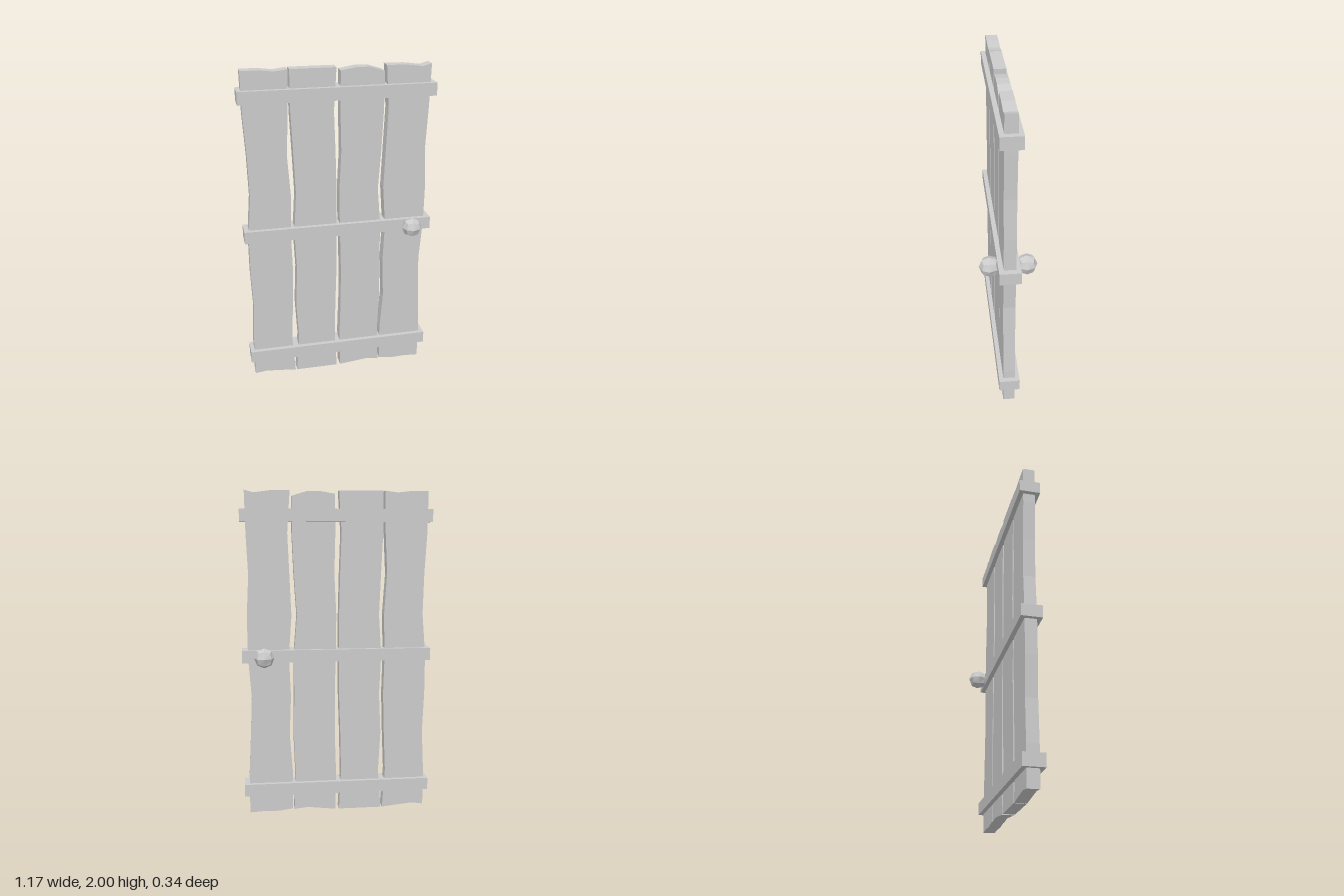
import * as THREE from 'three';

const material = new THREE.MeshStandardMaterial({ color: 0xcccccc, flatShading: true });

// Wavy plank edges: x at evenly spaced heights from bottom to top;
// ends: inner [x, y] points of the top and bottom cuts, left to right.
const planks = [
  {
    left: [-0.56, -0.56, -0.548, -0.558, -0.558, -0.537, -0.543, -0.557, -0.56],
    right: [-0.293, -0.31, -0.3, -0.293, -0.3, -0.293, -0.31, -0.298, -0.293],
    corners: [0.01, 0, 2, 2], // bottom left, bottom right, top left, top right
    bottom: [[-0.49, 0.02], [-0.38, 0.01]],
    top: [[-0.46, 2], [-0.37, 1.99]],
  },
  {
    left: [-0.283, -0.265, -0.278, -0.267, -0.278, -0.262, -0.272, -0.283, -0.283],
    right: [-0.013, -0.026, -0.021, -0.013, -0.013, -0.013, -0.019, -0.028, -0.013],
    corners: [0, 0, 2, 2],
    bottom: [],
    top: [],
  },
  {
    left: [0.01, 0.006, 0.014, 0.014, 0.008, 0.004, 0.016, 0.01, 0.012],
    right: [0.272, 0.263, 0.272, 0.267, 0.267, 0.246, 0.262, 0.272, 0.272],
    corners: [0, 0.01, 1.98, 1.967],
    bottom: [[0.1, 0.01], [0.19, 0.02]],
    top: [[0.1, 1.995], [0.18, 1.995]],
  },
  {
    left: [0.283, 0.28, 0.298, 0.288, 0.298, 0.28, 0.29, 0.3, 0.283],
    right: [0.553, 0.553, 0.54, 0.53, 0.548, 0.55, 0.537, 0.548, 0.553],
    corners: [0.015, 0, 2, 2],
    bottom: [[0.37, 0.003], [0.46, 0.005]],
    top: [[0.4, 1.998], [0.5, 1.985]],
  },
];

function plankGeometry({ left, right, corners, bottom, top }) {
  const last = left.length - 1;
  const edge = (xs, low, high) => xs.map((x, i) =>
    new THREE.Vector2(x, i === 0 ? low : i === last ? high : (2 * i) / last));
  const cut = (points) => points.map(([x, y]) => new THREE.Vector2(x, y));
  const outline = [
    ...cut(bottom),
    ...edge(right, corners[1], corners[3]),
    ...cut(top).reverse(),
    ...edge(left, corners[0], corners[2]).reverse(),
  ];
  const depth = 0.072;
  return new THREE.ExtrudeGeometry(new THREE.Shape(outline), { depth, bevelEnabled: false })
    .translate(0, 0, -depth / 2);
}

// Faceted ball: a subdivided cube pushed out to a sphere
function knobGeometry(radius) {
  const geometry = new THREE.BoxGeometry(1, 1, 1, 2, 2, 2);
  const position = geometry.attributes.position;
  const v = new THREE.Vector3();
  for (let i = 0; i < position.count; i++) {
    v.fromBufferAttribute(position, i).setLength(radius);
    position.setXYZ(i, v.x, v.y, v.z);
  }
  geometry.computeVertexNormals();
  return geometry;
}

export function createModel() {
  const door = new THREE.Group();
  door.name = 'plankDoor';
  const add = (name, geometry, x = 0, y = 0, z = 0) => {
    const mesh = new THREE.Mesh(geometry, material);
    mesh.name = name;
    mesh.position.set(x, y, z);
    door.add(mesh);
  };

  // Upright planks
  planks.forEach((plank, i) => add(`plank${i + 1}`, plankGeometry(plank)));

  // Cross bars wrapping both sides
  const bar = new THREE.BoxGeometry(1.168, 0.076, 0.127);
  [['lowerBar', 0.155], ['middleBar', 1.004], ['upperBar', 1.853]]
    .forEach(([name, y]) => add(name, bar, 0, y));

  // Knobs front and back
  const knob = knobGeometry(0.061);
  add('frontKnob', knob, 0.45, 1.003, 0.108);
  add('backKnob', knob, 0.45, 1.003, -0.108);

  return door;
}
